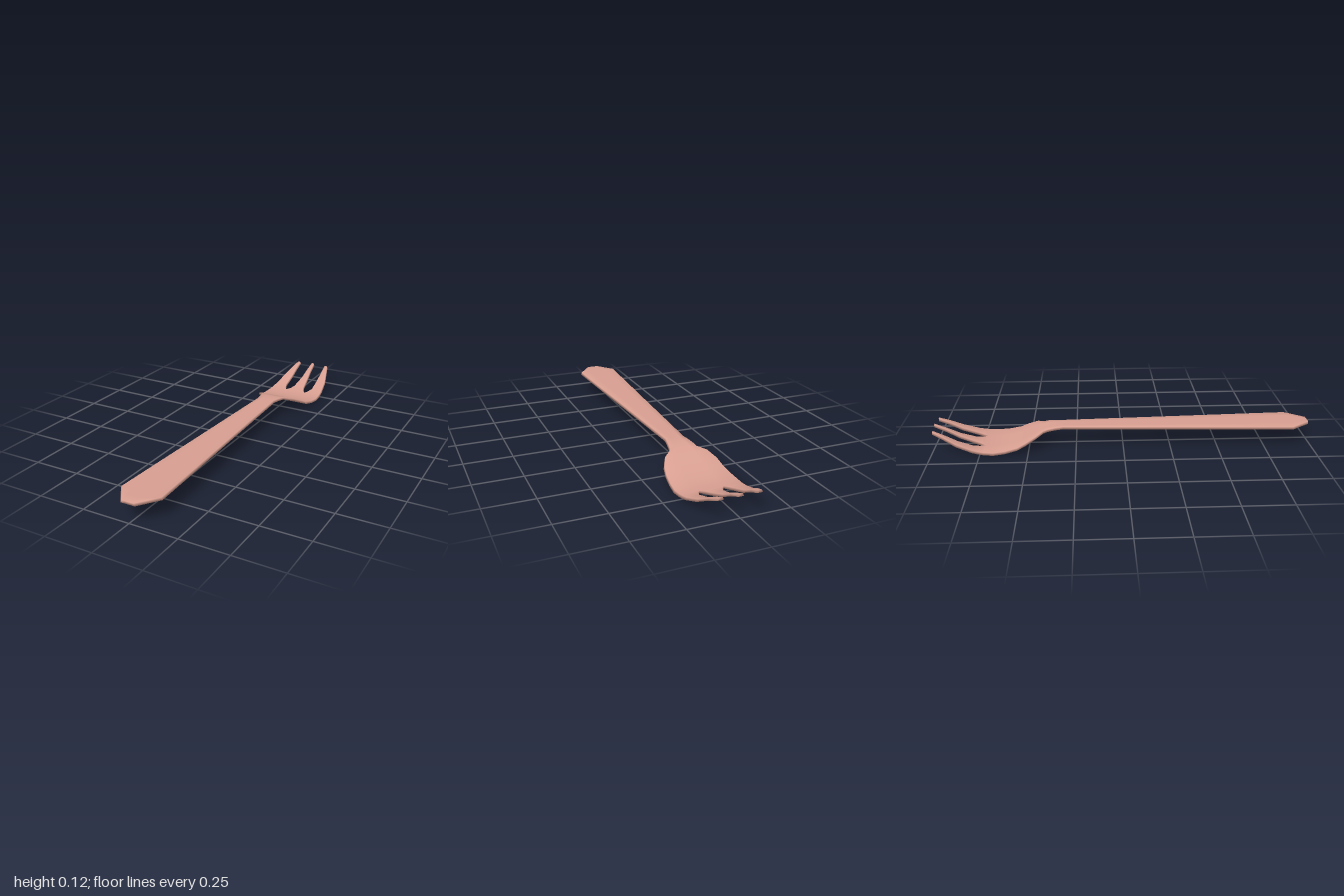
import * as THREE from 'three';

const THICK = 0.013, BEVEL = 0.005, CROTCH = -0.73;

// Side profile: [z, height of the upper surface]
const PROFILE = [
  [1, 0.11], [-0.317, 0.11], [-0.36, 0.108], [-0.4, 0.103], [-0.45, 0.087], [-0.5, 0.063],
  [-0.555, 0.036], [-0.62, 0.021], [-0.7, 0.013], [-0.78, 0.026], [-0.87, 0.057],
  [-0.935, 0.09], [-1, 0.118],
];

// Linear lookup in a table of [z, value] running from +z to -z
function lookup(table, z) {
  for (let i = 1; i < table.length; i++) {
    const [z0, v0] = table[i - 1], [z1, v1] = table[i];
    if (z >= z1 - 1e-6) return v0 + (v1 - v0) * (z - z0) / (z1 - z0);
  }
  return table[table.length - 1][1];
}

export function createModel() {
  const group = new THREE.Group();
  const material = new THREE.MeshStandardMaterial({ color: 0xd9a092 });
  const positions = [], known = new Map(), parts = [];

  // Shared vertices, so shading runs smoothly from part to part
  function vertex(x, y, z) {
    const key = [x, y, z].map((v) => v.toFixed(4)).join();
    if (!known.has(key)) {
      known.set(key, positions.length / 3);
      positions.push(x, y, z);
    }
    return known.get(key);
  }

  // One closed section: upper points left to right, lower points back again
  function section(z, xs) {
    const y = lookup(PROFILE, z), last = xs.length - 1;
    const top = xs.map((x, i) => {
      const inCrotch = z === CROTCH && Math.abs(x) < 0.1;
      const inset = inCrotch ? 0 : i === 0 ? BEVEL : i === last ? -BEVEL : 0;
      return vertex(x + inset, y, z);
    });
    const bottom = xs.map((x) => vertex(x, y - THICK, z));
    return [...top, ...bottom.reverse()];
  }

  // Skin a run of [z, xs] rows, with optional end caps
  function addPart(name, rows, capStart, capEnd) {
    const rings = rows.map(([z, xs]) => section(z, xs));
    const n = rings[0].length, index = [];
    const quad = (a, b, c, d) => index.push(a, b, c, a, c, d);
    for (let i = 0; i < rings.length - 1; i++) {
      for (let j = 0; j < n; j++) {
        const k = (j + 1) % n;
        quad(rings[i][j], rings[i][k], rings[i + 1][k], rings[i + 1][j]);
      }
    }
    for (let j = 0; j < n / 2 - 1; j++) {
      const [a, b, c, d] = [j, j + 1, n - 2 - j, n - 1 - j];
      const s = rings[0], e = rings[rings.length - 1];
      if (capStart) quad(s[d], s[c], s[b], s[a]);
      if (capEnd) quad(e[a], e[b], e[c], e[d]);
    }
    parts.push({ name, index });
  }

  // Symmetric rows: [z, half width, inner column]
  const mirrorRows = (rows) => rows.map(([z, w, m]) => [z, [-w, -m, m, w]]);

  addPart('handle', mirrorRows([
    [1, 0.037, 0.015], [0.95, 0.074, 0.035], [0.9, 0.111, 0.055], [0.6, 0.097, 0.048],
    [0.3, 0.082, 0.041], [0, 0.068, 0.034], [-0.317, 0.053, 0.027],
  ]), true, false);

  addPart('bowl', mirrorRows([
    [-0.317, 0.053, 0.027], [-0.36, 0.061, 0.031], [-0.4, 0.069, 0.035], [-0.423, 0.074, 0.038],
    [-0.46, 0.116, 0.05], [-0.513, 0.143, 0.056], [-0.555, 0.152, 0.06], [-0.62, 0.16, 0.062],
    [-0.68, 0.165, 0.063], [CROTCH, 0.162, 0.063],
  ]), false, false);

  // Tine rows: [z, inner edge, outer edge]
  const sideTine = [
    [CROTCH, 0.063, 0.162], [-0.755, 0.073, 0.16], [-0.788, 0.084, 0.156], [-0.87, 0.083, 0.143],
    [-0.935, 0.082, 0.124], [-0.994, 0.08, 0.106],
  ];
  addPart('leftTine', sideTine.map(([z, a, b]) => [z, [a, b]]), false, true);
  addPart('rightTine', sideTine.map(([z, a, b]) => [z, [-b, -a]]), false, true);

  const middleTine = [
    [CROTCH, 0.063], [-0.755, 0.047], [-0.788, 0.035], [-0.87, 0.024], [-0.935, 0.017], [-1, 0.012],
  ];
  addPart('middleTine', middleTine.map(([z, w]) => [z, [-w, w]]), false, true);

  // Smooth normals over the whole skin, then one mesh per part
  const skin = new THREE.BufferGeometry();
  skin.setAttribute('position', new THREE.Float32BufferAttribute(positions, 3));
  skin.setIndex(parts.flatMap((p) => p.index));
  skin.computeVertexNormals();
  for (const { name, index } of parts) {
    const geometry = new THREE.BufferGeometry();
    geometry.setAttribute('position', skin.getAttribute('position'));
    geometry.setAttribute('normal', skin.getAttribute('normal'));
    geometry.setIndex(index);
    const mesh = new THREE.Mesh(geometry, material);
    mesh.name = name;
    group.add(mesh);
  }
  return group;
}
